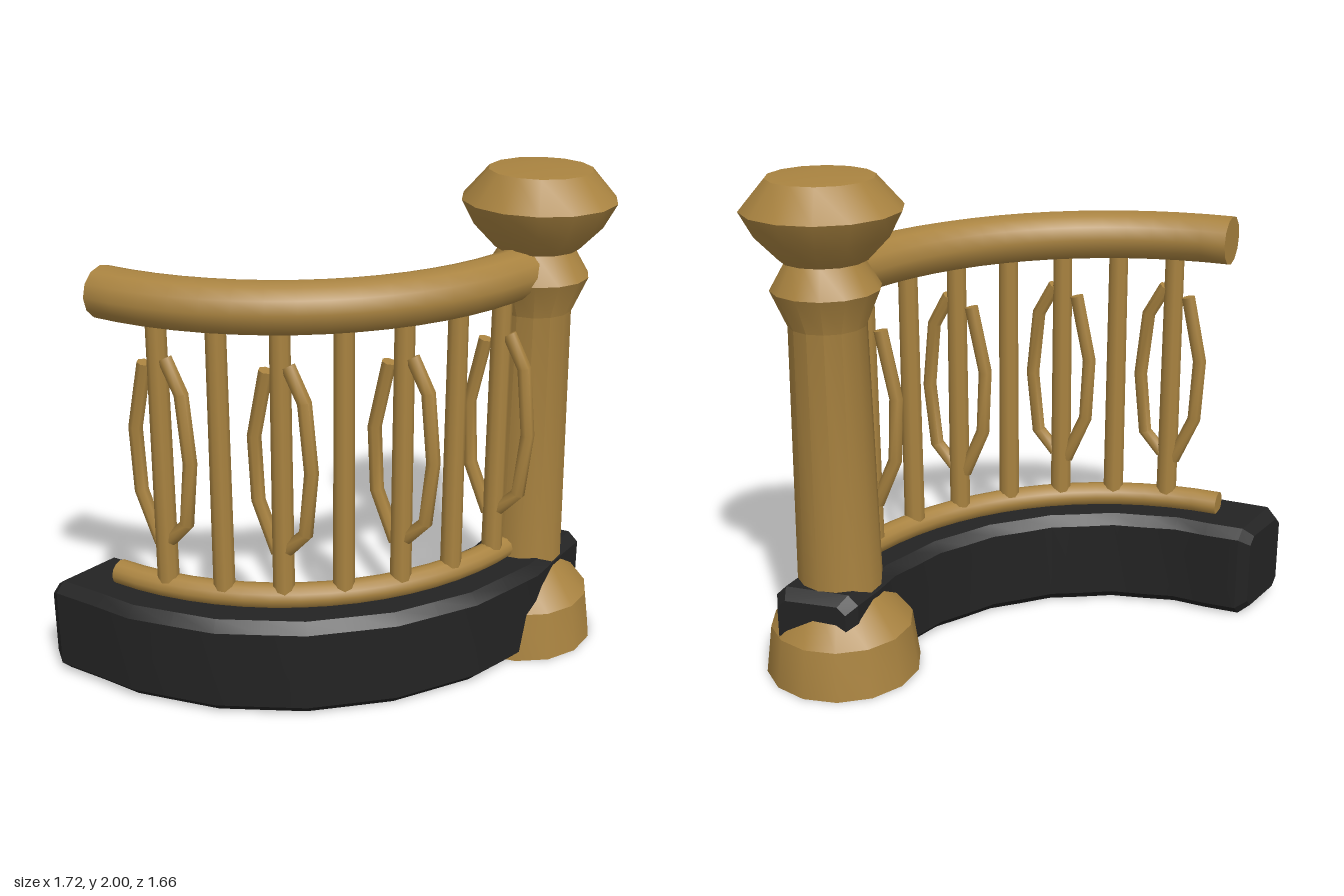
import * as THREE from 'three';
import { toCreasedNormals } from 'three/addons/utils/BufferGeometryUtils.js';

const wood = new THREE.MeshStandardMaterial({ color: 0xa98340 });
wood.name = 'wood';
const blackStone = new THREE.MeshStandardMaterial({ color: 0x232323 });
blackStone.name = 'blackStone';

// The fence follows a quarter circle that ends at the post
const CX = -0.64, CZ = -0.53, R = 1.18, STEP = 11.25;
const rad = THREE.MathUtils.degToRad;
const onArc = (deg, u, y) =>
  [CX + (R + u) * Math.sin(rad(deg)), y, CZ + (R + u) * Math.cos(rad(deg))];

const circle = (r, n) => Array.from({ length: n }, (_, i) => {
  const a = (i / n) * Math.PI * 2;
  return [Math.cos(a) * r, Math.sin(a) * r];
});

function addMesh(parent, name, geometry, material) {
  const mesh = new THREE.Mesh(geometry, material);
  mesh.name = name;
  parent.add(mesh);
  return mesh;
}

// Closed solid through a list of equal rings
function loft(rings, crease) {
  const n = rings[0].length, last = (rings.length - 1) * n, index = [];
  for (let i = 0; i < rings.length - 1; i++) {
    for (let j = 0; j < n; j++) {
      const a = i * n + j, b = i * n + (j + 1) % n;
      index.push(a, a + n, b, b, a + n, b + n);
    }
  }
  for (let j = 1; j < n - 1; j++) {
    index.push(0, j, j + 1, last, last + j + 1, last + j);
  }
  const g = new THREE.BufferGeometry();
  g.setAttribute('position', new THREE.Float32BufferAttribute(rings.flat(2), 3));
  g.setIndex(index);
  return toCreasedNormals(g, crease);
}

// Round rail along the arc
function arcRail(radius, y, endDeg) {
  const profile = circle(radius, 12), rings = [];
  for (let i = 0; i <= 16; i++) {
    rings.push(profile.map(([u, v]) => onArc((endDeg * i) / 16, u, y + v)));
  }
  return loft(rings, 0.7);
}

// Bent stick lying in the xy plane
function bentStick(points, radius) {
  const profile = circle(radius, 7);
  return loft(points.map(([x, y], i) => {
    const p = points[Math.max(i - 1, 0)], q = points[Math.min(i + 1, points.length - 1)];
    const t = new THREE.Vector2(q[0] - p[0], q[1] - p[1]).normalize();
    return profile.map(([u, v]) => [x + t.y * u, y - t.x * u, v]);
  }), 0.95);
}

export function createModel() {
  const model = new THREE.Group();
  model.name = 'curvedFence';

  // Post with flared foot, collar and knob
  const profile = [
    [0, 0], [0.31, 0], [0.283, 0.2], [0.168, 0.35], [0.148, 1.43], [0.207, 1.57],
    [0.145, 1.675], [0.165, 1.68], [0.25, 1.77], [0.3, 1.865], [0.2, 1.98], [0, 2],
  ].map(([x, y]) => new THREE.Vector2(x, y));
  const post = addMesh(model, 'post',
    toCreasedNormals(new THREE.LatheGeometry(profile, 14), 0.5), wood);
  post.position.set(0.54, 0, -0.53);

  // Chamfered curb, with straighter ends that run past the rails and post
  const w = 0.17, h = 0.2, c = 0.04;
  const section = [
    [w, c - h], [w, h - c], [w - c, h], [c - w, h],
    [-w, h - c], [-w, c - h], [c - w, -h], [w - c, -h],
  ];
  const stations = [[-10.2, 0.82, 0.024], [-8, 1, 0.016]];
  for (let i = 0; i <= 12; i++) stations.push([i * 7.5, 1, i % 2 ? 0.008 : -0.003]);
  stations.push([98, 1, 0.016], [100.2, 0.82, 0.024]);
  addMesh(model, 'curb', loft(stations.map(([deg, s, off]) =>
    section.map(([u, v]) => onArc(deg, u * s + off, h + v * s))), 0.4), blackStone);

  // Rails
  addMesh(model, 'topRail', arcRail(0.1, 1.6, 84), wood);
  addMesh(model, 'bottomRail', arcRail(0.05, 0.437, 84), wood);

  // Balusters, every other one flanked by bent sticks
  const balusterGeometry = new THREE.CylinderGeometry(0.039, 0.043, 1.08, 9);
  const leftStick = bentStick(
    [[0.035, 1.385], [0.105, 1.26], [0.133, 0.99], [0.105, 0.73], [0.025, 0.645]], 0.028);
  const rightStick = bentStick(
    [[-0.065, 1.35], [-0.125, 1.08], [-0.112, 0.82], [-0.025, 0.62]], 0.028);
  for (let i = 1; i <= 7; i++) {
    const baluster = new THREE.Group();
    baluster.name = 'baluster' + i;
    baluster.position.set(...onArc(i * STEP, 0, 0));
    addMesh(baluster, 'shaft', balusterGeometry, wood).position.y = 1;
    if (i % 2) {
      addMesh(baluster, 'leftBentStick', leftStick, wood);
      addMesh(baluster, 'rightBentStick', rightStick, wood);
    }
    model.add(baluster);
  }
  return model;
}
